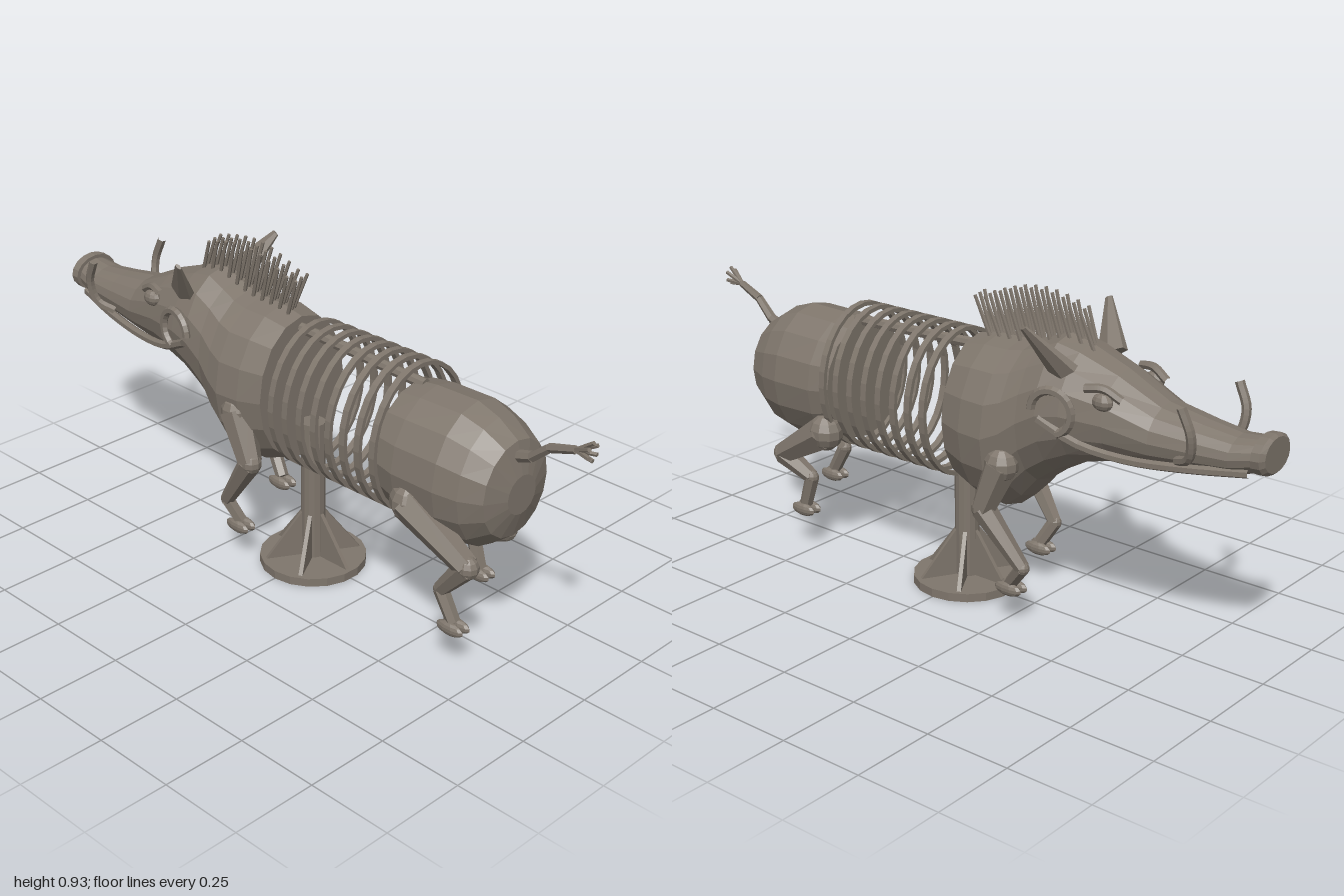
import * as THREE from 'three';

const hide = new THREE.MeshStandardMaterial({ color: 0x7f766c, flatShading: true });
hide.name = 'warm grey';

const V = (x, y, z) => new THREE.Vector3(x, y, z);

function add(parent, name, geometry) {
  const mesh = new THREE.Mesh(geometry, hide);
  mesh.name = name;
  parent.add(mesh);
  return mesh;
}

// closed faceted hull through elliptical sections [x, top, bottom, halfWidth]
function loft(sections, sides = 16) {
  const pos = [], idx = [];
  for (const [x, top, bottom, w] of sections) {
    for (let j = 0; j < sides; j++) {
      const a = (j / sides) * Math.PI * 2;
      pos.push(x, (top + bottom) / 2 + Math.cos(a) * (top - bottom) / 2, Math.sin(a) * w);
    }
  }
  const last = (sections.length - 1) * sides;
  for (let i = 0; i < last; i += sides) {
    for (let j = 0; j < sides; j++) {
      const k = (j + 1) % sides;
      idx.push(i + j, i + k, i + sides + j, i + k, i + sides + k, i + sides + j);
    }
  }
  for (let j = 1; j < sides - 1; j++) {
    idx.push(0, j + 1, j, last, last + j, last + j + 1);
  }
  const g = new THREE.BufferGeometry();
  g.setAttribute('position', new THREE.Float32BufferAttribute(pos, 3));
  g.setIndex(idx);
  g.computeVertexNormals();
  return g;
}

// tapered rod between two points
function rod(parent, name, a, b, r0, r1, sides = 6) {
  const mesh = add(parent, name, new THREE.CylinderGeometry(r1, r0, a.distanceTo(b), sides));
  mesh.position.copy(a).add(b).multiplyScalar(0.5);
  mesh.quaternion.setFromUnitVectors(V(0, 1, 0), b.clone().sub(a).normalize());
  return mesh;
}

function ball(parent, name, p, sx, sy, sz) {
  const mesh = add(parent, name, new THREE.SphereGeometry(1, 10, 7));
  mesh.position.copy(p);
  mesh.scale.set(sx, sy, sz);
  return mesh;
}

function tube(parent, name, points, r) {
  return add(parent, name, new THREE.TubeGeometry(new THREE.CatmullRomCurve3(points), 14, r, 6));
}

// jointed leg: upper limb, lower limb, pastern and a cloven hoof
function leg(parent, name, joints, radii) {
  const g = new THREE.Group();
  g.name = name;
  parent.add(g);
  const parts = ['upperLeg', 'lowerLeg', 'pastern'];
  parts.forEach((part, i) => {
    rod(g, part, joints[i], joints[i + 1], radii[i], radii[i + 1]);
    ball(g, 'joint', joints[i], radii[i], radii[i], radii[i] * 0.9);
  });
  const ankle = joints[3];
  for (const s of [-1, 1]) {
    ball(g, 'hoof', V(ankle.x, ankle.y - 0.015, ankle.z + s * 0.014), 0.046, 0.02, 0.014);
  }
}

export function createModel() {
  const boar = new THREE.Group();
  boar.name = 'boar';

  // head and shoulders
  add(boar, 'headAndShoulders', loft([
    [-0.97, 0.68, 0.585, 0.062], [-0.9, 0.672, 0.565, 0.075], [-0.8, 0.685, 0.55, 0.088],
    [-0.68, 0.705, 0.532, 0.105], [-0.55, 0.768, 0.515, 0.128], [-0.43, 0.812, 0.48, 0.15],
    [-0.36, 0.828, 0.44, 0.16], [-0.3, 0.805, 0.395, 0.165], [-0.25, 0.788, 0.335, 0.178],
    [-0.2, 0.782, 0.295, 0.19], [-0.12, 0.78, 0.3, 0.185], [-0.045, 0.765, 0.33, 0.165],
  ]));
  add(boar, 'snoutDisc', loft([
    [-1, 0.685, 0.59, 0.06], [-0.99, 0.692, 0.582, 0.075], [-0.965, 0.69, 0.58, 0.075],
  ]));

  // hindquarters
  add(boar, 'hindquarters', loft([
    [0.39, 0.715, 0.355, 0.165], [0.46, 0.725, 0.33, 0.175], [0.6, 0.728, 0.322, 0.172],
    [0.67, 0.705, 0.335, 0.155], [0.735, 0.662, 0.385, 0.128], [0.757, 0.57, 0.458, 0.056],
  ]));

  // ribs and spine
  const rib = new THREE.Shape().absellipse(0, 0, 0.182, 0.22, 0, Math.PI * 2);
  rib.holes.push(new THREE.Path().absellipse(0, 0, 0.17, 0.208, 0, Math.PI * 2));
  const ribGeo = new THREE.ExtrudeGeometry(rib, { depth: 0.02, bevelEnabled: false, curveSegments: 14 });
  ribGeo.rotateY(Math.PI / 2);
  for (let i = 0; i < 8; i++) {
    add(boar, 'rib', ribGeo).position.set(0.005 + i * 0.0545, 0.55, 0);
  }
  rod(boar, 'spine', V(-0.06, 0.73, 0), V(0.42, 0.712, 0), 0.016, 0.016, 8);

  // paired face details
  for (const s of [1, -1]) {
    const ear = rod(boar, 'ear', V(-0.42, 0.755, s * 0.105), V(-0.345, 0.88, s * 0.188), 0.05, 0.012);
    ear.scale.z = 0.45;
    ball(boar, 'eye', V(-0.55, 0.705, s * 0.118), 0.032, 0.024, 0.02);
    tube(boar, 'brow', [V(-0.6, 0.715, s * 0.103), V(-0.55, 0.74, s * 0.115), V(-0.5, 0.735, s * 0.128)], 0.012);
    const cheek = add(boar, 'cheek', new THREE.TorusGeometry(0.06, 0.013, 6, 16, Math.PI * 1.4));
    cheek.position.set(-0.41, 0.655, s * 0.152);
    cheek.rotation.y = -s * 0.15;
    tube(boar, 'lip', [
      V(-0.95, 0.59, s * 0.05), V(-0.78, 0.572, s * 0.087), V(-0.62, 0.562, s * 0.11),
      V(-0.48, 0.58, s * 0.135), V(-0.37, 0.63, s * 0.156),
    ], 0.013);
    tube(boar, 'tusk', [
      V(-0.765, 0.59, s * 0.09), V(-0.815, 0.615, s * 0.115),
      V(-0.828, 0.68, s * 0.13), V(-0.8, 0.752, s * 0.135),
    ], 0.013);
  }

  // bristle mane, three rows
  const mane = new THREE.Group();
  mane.name = 'mane';
  boar.add(mane);
  for (let row = -1; row <= 1; row++) {
    for (let i = 0; i < 11; i++) {
      const t = i / 10;
      const x = -0.445 + t * 0.355 + row * 0.008;
      const top = 0.9 + 0.035 * Math.sin(Math.PI * Math.min(1, t * 1.1)) - 0.02 * t;
      rod(mane, 'bristle', V(x, 0.785 - 0.02 * t, row * 0.018), V(x + 0.045, top, row * 0.03), 0.006, 0.005, 5);
    }
  }

  // legs in mid stride: front pair then rear pair
  leg(boar, 'leftFrontLeg', [V(-0.15, 0.49, 0.155), V(-0.08, 0.355, 0.172),
    V(-0.2, 0.185, 0.155), V(-0.165, 0.12, 0.135)], [0.05, 0.035, 0.021, 0.02]);
  leg(boar, 'rightFrontLeg', [V(-0.25, 0.47, -0.155), V(-0.2, 0.335, -0.172),
    V(-0.325, 0.185, -0.155), V(-0.27, 0.12, -0.135)], [0.05, 0.035, 0.021, 0.02]);
  leg(boar, 'leftRearLeg', [V(0.5, 0.45, 0.145), V(0.705, 0.335, 0.142),
    V(0.61, 0.225, 0.132), V(0.655, 0.142, 0.13)], [0.055, 0.034, 0.022, 0.02]);
  leg(boar, 'rightRearLeg', [V(0.42, 0.4, -0.145), V(0.6, 0.29, -0.142),
    V(0.495, 0.235, -0.132), V(0.525, 0.142, -0.13)], [0.055, 0.034, 0.022, 0.02]);

  // tail with tuft
  const tail = [V(0.735, 0.62, 0.003), V(0.79, 0.64, 0.01), V(0.85, 0.69, 0.018), V(0.935, 0.72, 0.028)];
  for (let i = 0; i < 3; i++) {
    rod(boar, 'tail', tail[i], tail[i + 1], 0.017 - i * 0.002, 0.015 - i * 0.002);
  }
  for (let i = 0; i < 6; i++) {
    const a = (i / 6) * Math.PI * 2;
    rod(boar, 'tailTuft', tail[3], V(0.992, 0.737 + Math.cos(a) * 0.025, 0.035 + Math.sin(a) * 0.02), 0.007, 0.006, 5);
  }

  // stand: disc, post and gussets
  add(boar, 'standDisc', new THREE.CylinderGeometry(0.157, 0.157, 0.025, 18)).position.y = 0.0125;
  add(boar, 'standPost', new THREE.CylinderGeometry(0.036, 0.036, 0.43, 14)).position.y = 0.24;
  const fin = new THREE.Shape([[0.02, 0.02], [0.145, 0.02], [0.036, 0.165], [0.02, 0.165]]
    .map(([x, y]) => new THREE.Vector2(x, y)));
  const finGeo = new THREE.ExtrudeGeometry(fin, { depth: 0.012, bevelEnabled: false });
  finGeo.translate(0, 0, -0.006);
  for (let i = 0; i < 6; i++) {
    add(boar, 'standGusset', finGeo).rotation.y = (i * Math.PI) / 3;
  }

  return boar;
}
